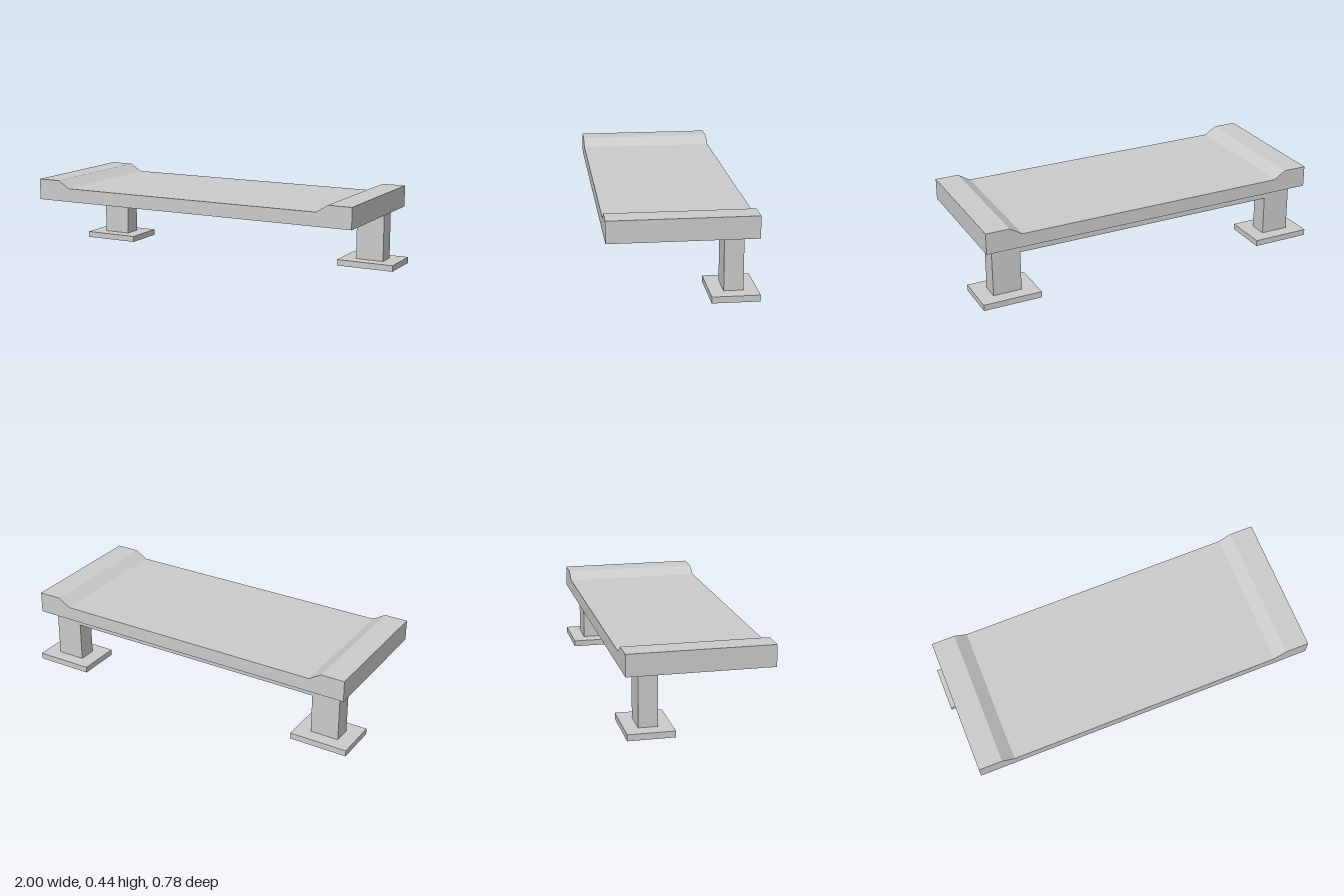
import * as THREE from 'three';

const material = new THREE.MeshStandardMaterial({ color: 0xcccccc, flatShading: true });

// Extrudes a front-view outline from zBack to zFront.
function extrudeOutline(name, points, zBack, zFront) {
  const shape = new THREE.Shape(points.map(([x, y]) => new THREE.Vector2(x, y)));
  const geometry = new THREE.ExtrudeGeometry(shape, { depth: zFront - zBack, bevelEnabled: false });
  geometry.translate(0, 0, zBack);
  const mesh = new THREE.Mesh(geometry, material);
  mesh.name = name;
  return mesh;
}

// Completes a right-half outline with its mirror image.
function mirrored(half) {
  return [...half, ...half.slice().reverse().map(([x, y]) => [-x, y])];
}

export function createModel() {
  const group = new THREE.Group();
  group.name = 'platform';

  // Deck with a raised, sloped kerb at each end
  const deck = mirrored([[0.97, 0.322], [0.97, 0.44], [0.838, 0.44], [0.77, 0.398]]);
  group.add(extrudeOutline('deck', deck, -0.388, 0.388));

  // Portal frame: two legs joined by a beam under the deck
  const frame = mirrored([[0.757, 0.255], [0.757, 0.034], [0.917, 0.034], [0.917, 0.322]]);
  group.add(extrudeOutline('supportFrame', frame, -0.315, -0.213));

  // Foot plates
  for (const side of [-1, 1]) {
    const foot = new THREE.Mesh(new THREE.BoxGeometry(0.328, 0.034, 0.249), material);
    foot.name = side > 0 ? 'leftFootPlate' : 'rightFootPlate';
    foot.position.set(side * 0.836, 0.017, -0.2635);
    group.add(foot);
  }

  return group;
}
